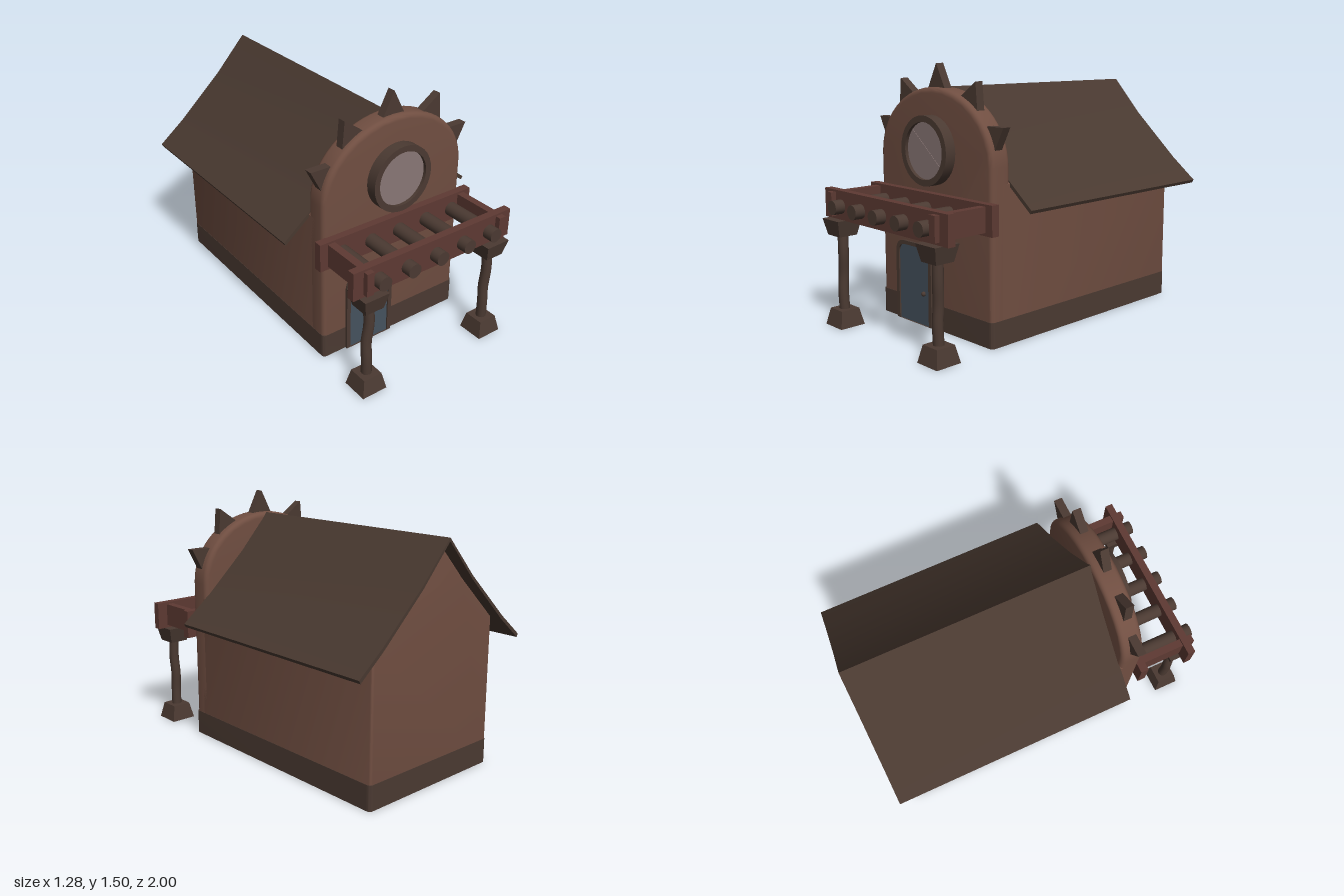
import * as THREE from 'three';
import { toCreasedNormals } from 'three/addons/utils/BufferGeometryUtils.js';

const mat = (color, side = THREE.FrontSide) => new THREE.MeshStandardMaterial({ color, side });
const wall = mat(0x704e41), dark = mat(0x4b3a32), roofMat = mat(0x493930, THREE.DoubleSide);
const beamMat = mat(0x5e3a33), doorMat = mat(0x46525e), glassMat = mat(0x8a7876);

export function createModel() {
  const model = new THREE.Group();

  function add(name, geometry, material, x = 0, y = 0, z = 0, parent = model) {
    const mesh = new THREE.Mesh(geometry, material);
    mesh.name = name;
    mesh.position.set(x, y, z);
    parent.add(mesh);
    return mesh;
  }
  const box = (name, w, h, d, m, x, y, z, parent) =>
    add(name, new THREE.BoxGeometry(w, h, d), m, x, y, z, parent);
  const polygon = pts => new THREE.Shape(pts.map(p => new THREE.Vector2(...p)));

  // Extrude a shape from z0 to z1, with an optional rounded edge of radius r
  function slab(shape, z0, z1, r = 0) {
    const g = new THREE.ExtrudeGeometry(shape, {
      depth: z1 - z0 - 2 * r, curveSegments: 16, bevelEnabled: r > 0,
      bevelSize: r, bevelThickness: r, bevelSegments: 4,
    });
    g.translate(0, 0, z0 + r);
    return toCreasedNormals(g, 0.6);
  }

  // Gabled hall behind the facade
  const b = 0.02;
  add('hall', slab(polygon([[-0.46, b + 0.003], [0.46, b + 0.003], [0.46, 0.87],
    [0.2, 1.11], [0, 1.32], [-0.2, 1.11], [-0.46, 0.87]]), -0.93, 0.53, b), wall);

  // Arched facade with soft edges
  const arch = new THREE.Shape();
  arch.moveTo(-0.452, 0.03);
  arch.lineTo(0.452, 0.03);
  arch.lineTo(0.452, 0.97);
  arch.absellipse(0, 0.97, 0.452, 0.372, 0, Math.PI, false);
  arch.closePath();
  add('facade', slab(arch, 0.455, 0.59, 0.028), wall);

  // Dark plinth band with rounded corners in plan
  const plan = new THREE.Shape();
  const px = 0.482, z0 = -0.592, z1 = 0.932, pr = 0.025;
  plan.moveTo(-px + pr, z0);
  plan.lineTo(px - pr, z0);
  plan.quadraticCurveTo(px, z0, px, z0 + pr);
  plan.lineTo(px, z1 - pr);
  plan.quadraticCurveTo(px, z1, px - pr, z1);
  plan.lineTo(-px + pr, z1);
  plan.quadraticCurveTo(-px, z1, -px, z1 - pr);
  plan.lineTo(-px, z0 + pr);
  plan.quadraticCurveTo(-px, z0, -px + pr, z0);
  add('plinth', slab(plan, 0, 0.145).rotateX(-Math.PI / 2), dark);

  // Thin roof, flaring slightly at the eaves
  const half = [[0.64, 0.757], [0.48, 0.888], [0.2, 1.15]];
  const top = [...half, [0, 1.37], ...half.map(([x, y]) => [-x, y]).reverse()];
  const under = top.map(([x, y]) => [x * 0.985, y - 0.019]).reverse();
  add('roof', slab(polygon([...top, ...under]), -1, 0.46), roofMat);

  // Spikes fanned around the arch
  const spikes = new THREE.Group();
  spikes.name = 'spikes';
  model.add(spikes);
  function spike(pts) {
    add('spike', slab(polygon(pts), 0.505, 0.555), dark, 0, 0, 0, spikes);
  }
  spike([[-0.075, 1.355], [0.075, 1.355], [0, 1.5]]);
  for (const s of [-1, 1]) {
    for (const pts of [[[0.19, 1.32], [0.335, 1.24], [0.32, 1.41]],
      [[0.38, 1.182], [0.462, 1.05], [0.53, 1.182]]]) {
      const p = pts.map(([x, y]) => [s * x, y]);
      spike(s > 0 ? p : p.reverse());
    }
  }

  // Round window
  const ring = new THREE.Shape().absarc(0, 0, 0.195, 0, Math.PI * 2);
  ring.holes.push(new THREE.Path().absarc(0, 0, 0.16, 0, Math.PI * 2, true));
  add('windowFrame', slab(ring, 0.575, 0.655), dark, 0, 1.025, 0);
  add('windowGlass', new THREE.CylinderGeometry(0.162, 0.162, 0.05, 40).rotateX(Math.PI / 2),
    glassMat, 0, 1.025, 0.61);
  const glint = box('windowGlint', 0.31, 0.03, 0.004, glassMat, 0, 1.025, 0.635);
  glint.rotation.z = -0.69;

  // Door with rounded top corners
  function doorShape(w, h, r) {
    const s = new THREE.Shape();
    s.moveTo(-w, 0);
    s.lineTo(w, 0);
    s.lineTo(w, h - r);
    s.quadraticCurveTo(w, h, w - r, h);
    s.lineTo(-w + r, h);
    s.quadraticCurveTo(-w, h, -w, h - r);
    s.closePath();
    return s;
  }
  const frame = doorShape(0.16, 0.477, 0.08);
  frame.holes.push(doorShape(0.135, 0.455, 0.06));
  add('doorFrame', slab(frame, 0.57, 0.607), dark, -0.17);
  add('door', slab(doorShape(0.136, 0.456, 0.06), 0.57, 0.598), doorMat, -0.17);
  add('doorKnob', new THREE.SphereGeometry(0.014, 16, 12), dark, -0.083, 0.188, 0.603);

  // Porch frame
  const porch = new THREE.Group();
  porch.name = 'porch';
  model.add(porch);
  box('frontBeam', 1.09, 0.167, 0.045, beamMat, 0, 0.708, 0.917, porch);
  box('wallBeam', 1.06, 0.167, 0.048, beamMat, 0, 0.708, 0.61, porch);
  for (const s of [-1, 1])
    box('sideBeam', 0.045, 0.137, 0.37, beamMat, s * 0.458, 0.711, 0.785, porch);
  for (let i = -2; i <= 2; i++)
    add('log', new THREE.CylinderGeometry(0.041, 0.041, 0.4, 20).rotateX(Math.PI / 2),
      dark, i * 0.193, 0.702, 0.8, porch);

  // Square tapered block given by bottom and top half-widths
  function block(bottom, topW, h) {
    return new THREE.CylinderGeometry(topW * Math.SQRT2, bottom * Math.SQRT2, h, 4, 1)
      .rotateY(Math.PI / 4).toNonIndexed();
  }
  const flat = g => { g.computeVertexNormals(); return g; };

  // Crooked posts with base and capital
  for (const s of [-1, 1]) {
    const post = new THREE.Group();
    post.name = s > 0 ? 'leftPost' : 'rightPost';
    post.position.set(s * 0.426, 0, 0.91);
    porch.add(post);
    add('postBase', flat(block(0.079, 0.058, 0.097)), dark, 0, 0.0485, 0, post);
    add('postCapital', flat(block(0.058, 0.079, 0.095)), dark, 0, 0.578, 0, post);
    const path = new THREE.CatmullRomCurve3([[0, 0.08, 0], [-0.004, 0.2, 0.003], [-0.004, 0.3, -0.002],
      [0.008, 0.42, 0.003], [0.002, 0.55, 0]].map(([x, y, z]) => new THREE.Vector3(s < 0 ? x : x * 0.5, y, z)));
    add('postShaft', new THREE.TubeGeometry(path, 16, 0.03, 12), dark, 0, 0, 0, post);
  }
  return model;
}
